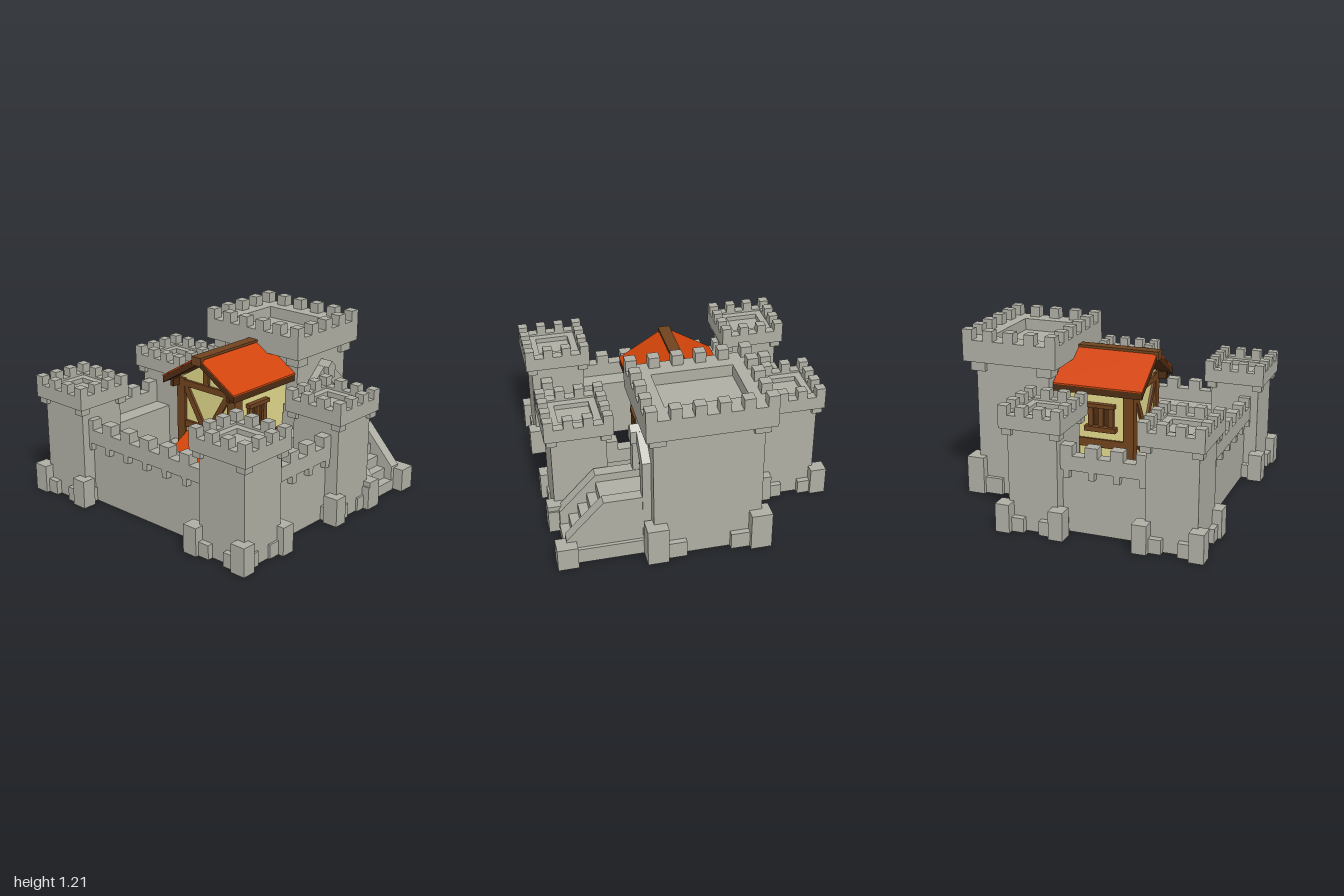
import * as THREE from 'three';

const mat = (name, color, side = THREE.FrontSide) => {
  const m = new THREE.MeshStandardMaterial({ color, side });
  m.name = name;
  return m;
};

export function createModel() {
  const stone = mat('stone grey', 0xaeaea4, THREE.DoubleSide);
  const wood = mat('timber brown', 0x70431e);
  const dark = mat('dark timber', 0x4d2c12);
  const tile = mat('roof orange', 0xd2440a);
  const plaster = mat('plaster cream', 0xe0d78a);
  const castle = new THREE.Group();
  castle.name = 'castle';

  const add = (parent, name, geo, material) => {
    const mesh = new THREE.Mesh(geo, material);
    mesh.name = name;
    parent.add(mesh);
    return mesh;
  };
  // box given by its minimum and maximum on each axis; stone on the ground is open below
  const box = (parent, name, x0, x1, y0, y1, z0, z1, m = stone) => {
    const geo = new THREE.BoxGeometry(x1 - x0, y1 - y0, z1 - z0);
    if (y0 === 0 && m === stone) {
      const index = [...geo.index.array];
      index.splice(18, 6);
      geo.setIndex(index);
      geo.clearGroups();
    }
    const mesh = add(parent, name, geo, m);
    mesh.position.set((x0 + x1) / 2, (y0 + y1) / 2, (z0 + z1) / 2);
    return mesh;
  };
  const group = (name, x = 0, z = 0, turn = 0) => {
    const g = new THREE.Group();
    g.name = name;
    g.position.set(x, 0, z);
    g.rotation.y = turn;
    castle.add(g);
    return g;
  };
  const points = pts => pts.map(p => new THREE.Vector2(...p));
  const extrude = (pts, depth, hole) => {
    const shape = new THREE.Shape(points(pts));
    if (hole) shape.holes.push(new THREE.Path(points(hole)));
    return new THREE.ExtrudeGeometry(shape, { depth, bevelEnabled: false });
  };
  // (z, y) profile swept along x; the z of the profile is kept as drawn
  const sweepX = (pts, x0, x1) =>
    extrude(pts.map(([z, y]) => [-z, y]), x1 - x0).rotateY(Math.PI / 2).translate(x0, 0, 0);
  const rect = (a, b) => [[-a, -b], [a, -b], [a, b], [-a, b]];
  // flat rectangular ring of width w between two heights
  const ring = (parent, name, a, b, w, y0, y1) =>
    add(parent, name, extrude(rect(a, b), y1 - y0, rect(a - w, b - w).reverse())
      .rotateX(-Math.PI / 2).translate(0, y0, 0), stone);

  // square tower with corner feet, corbels, hollow crown and merlons
  function tower(name, x, z, o, footShift = 0) {
    const g = group(name, x, z);
    const [bx, bz] = o.body, [cx, cz] = o.crown, [fx, fz] = o.feet;
    box(g, 'shaft', -bx, bx, 0, o.crownY, -bz, bz);
    for (const sx of [-1, 1]) for (const sz of [-1, 1]) {
      const block = (part, w, d, y0, y1, px, pz, dz = 0) => {
        const mx = sx * (px - w / 2), mz = sz * (pz - d / 2) + dz;
        box(g, part, mx - w / 2, mx + w / 2, y0, y1, mz - d / 2, mz + d / 2);
      };
      const [sw, sd] = o.foot, l = o.low;
      block('cornerFoot', sw, sd, 0, o.footTop, fx, fz, footShift);
      block('lowFoot', l, sd, 0, o.lowTop, fx - sw, bz + 0.03, footShift);
      block('lowFoot', sw, l, 0, o.lowTop, bx + 0.04, fz - sd, footShift);
      block('corbel', o.corbel, o.corbel, o.corbelY, o.crownY, bx + 0.03, bz + 0.03);
    }
    ring(g, 'crown', cx, cz, o.rim, o.crownY, o.rimY);
    if (o.ledge) ring(g, 'ledge', cx - o.rim, cz - o.rim, o.ledge, o.floor, o.rimY - 0.015);
    box(g, 'crownFloor', -cx + o.rim, cx - o.rim, o.crownY, o.floor, -cz + o.rim, cz - o.rim);
    const [nx, nz] = o.count, m = o.merlon / 2;
    for (let i = 0; i < nx; i++) for (let j = 0; j < nz; j++) {
      if (i > 0 && i < nx - 1 && j > 0 && j < nz - 1) continue;
      const px = (i / (nx - 1) * 2 - 1) * (cx - m), pz = (j / (nz - 1) * 2 - 1) * (cz - m);
      box(g, 'merlon', px - m, px + m, o.rimY, o.top, pz - m, pz + m);
    }
  }
  const small = {
    body: [0.175, 0.19], crown: [0.219, 0.234], feet: [0.24, 0.26], foot: [0.1, 0.112], low: 0.085,
    footTop: 0.2, lowTop: 0.1, corbel: 0.07, corbelY: 0.67, crownY: 0.715, rimY: 0.81,
    floor: 0.76, top: 0.873, rim: 0.066, ledge: 0.049, merlon: 0.066, count: [4, 4],
  };
  tower('frontRightTower', -0.728, 0.755, small, -0.015);
  tower('backRightTower', -0.728, -0.725, small, -0.015);
  tower('frontLeftTower', 0.213, 0.755, small, -0.015);
  tower('backLeftTower', 0.227, -0.725, small, -0.015);
  tower('keep', 0.61, -0.018, {
    body: [0.275, 0.37], crown: [0.35, 0.43], feet: [0.35, 0.428], foot: [0.128, 0.145], low: 0.13,
    footTop: 0.272, lowTop: 0.12, corbel: 0.11, corbelY: 0.91, crownY: 0.98, rimY: 1.135,
    floor: 1.05, top: 1.21, rim: 0.152, ledge: 0, merlon: 0.075, count: [5, 6],
  });

  // curtain walls; the outer face is local +z and the ends run into the towers
  function wall(name, x, z, turn, length, corbels = true) {
    const g = group(name, x, z, turn), h = length / 2, n = Math.max(1, Math.round(length / 0.18));
    const e = h + 0.06;
    box(g, 'wallBody', -e, e, 0, 0.45, -0.11, 0.06);
    box(g, 'parapet', -e, e, 0.45, 0.55, 0.02, 0.1);
    for (let i = 0; i <= n; i++) {
      const p = -h + i * length / n;
      box(g, 'merlon', p - 0.044, p + 0.044, 0.55, 0.62, 0.02, 0.1);
      if (corbels) box(g, 'corbel', p - 0.022, p + 0.022, 0.395, 0.45, 0.05, 0.1);
    }
  }
  wall('frontWall', -0.257, 0.785, 0, 0.525);
  wall('backWall', -0.25, -0.763, Math.PI, 0.525);
  wall('rightWall', -0.75, 0.015, -Math.PI / 2, 1.1);
  wall('leftFrontWall', 0.275, 0.42, Math.PI / 2, 0.22, false);
  wall('leftBackWall', 0.275, -0.4, Math.PI / 2, 0.22, false);
  box(castle, 'wallPlatform', -0.66, -0.55, 0, 0.45, -0.55, 0.05);
  // blocks in the courtyard corners
  box(castle, 'cornerBlock', -0.66, -0.46, 0, 0.2, 0.455, 0.58);
  box(castle, 'cornerBlock', -0.035, 0.18, 0, 0.2, -0.56, -0.46);

  // keep entrance
  const door = group('keepEntrance', 0.61, 0);
  const arch = [[-0.118, 0.38], [-0.118, 0.67], [-0.04, 0.75], [0, 0.775],
    [0.04, 0.75], [0.118, 0.67], [0.118, 0.38]];
  const gable = [[-0.2, 0], [0.2, 0], [0.2, 0.72], [0, 0.9], [-0.2, 0.72]];
  add(door, 'doorSurround', extrude(gable, 0.07, arch).translate(0, 0, 0.34), stone);
  box(door, 'doorLeaf', -0.12, 0.12, 0.38, 0.78, 0.35, 0.365, wood);
  add(door, 'keystone', extrude([[-0.04, 0.775], [0.04, 0.775], [0.04, 0.865], [0, 0.905], [-0.04, 0.865]], 0.1)
    .translate(0, 0, 0.35), stone);

  // entrance stairs
  box(door, 'landing', -0.13, 0.13, 0, 0.392, 0.35, 0.67);
  for (let i = 0; i < 4; i++)
    box(door, 'stairStep', -0.13, 0.13, 0, 0.078 * (4 - i), 0.66, 0.735 + i * 0.065);
  const rail = [[0.35, 0], [0.925, 0], [0.925, 0.18], [0.67, 0.45], [0.35, 0.45]];
  for (const s of [-1, 1]) {
    const a = s < 0 ? -0.195 : 0.115;
    add(door, 'balustrade', sweepX(rail, a, a + 0.08), stone);
    const b = s < 0 ? -0.22 : 0.19;
    box(door, 'plinth', b, b + 0.03, 0, 0.11, 0.35, 0.9);
    const c = s < 0 ? -0.27 : 0.145;
    box(door, 'newel', c, c + 0.125, 0, 0.165, 0.86, 1);
  }

  // half-timbered hall with a raised floor
  const hall = group('hall');
  for (const s of [-1, 1])
    box(hall, 'plasterWall', -0.22, 0.33, 0, 0.85, s * 0.25 - 0.005, s * 0.25 + 0.005, plaster);
  add(hall, 'gableWall', sweepX([[-0.255, 0], [0.255, 0], [0.255, 0.84], [0, 0.99], [-0.255, 0.84]], -0.22, -0.21), plaster);
  box(hall, 'floor', -0.21, 0.33, 0.08, 0.1, -0.245, 0.245, dark);
  const chevron = (top, thick, w) => {
    const low = top - w * 0.605;
    return [[-w, low - thick], [0, top - thick], [w, low - thick], [w, low], [0, top], [-w, low]];
  };
  add(hall, 'roofBoards', sweepX(chevron(1.053, 0.05, 0.333), -0.32, 0.33), dark);
  add(hall, 'roofTiles', sweepX(chevron(1.061, 0.009, 0.335), -0.322, 0.33), tile);
  box(hall, 'ridgeCap', -0.335, 0.33, 1.044, 1.062, -0.037, 0.045, wood);
  box(hall, 'ridgeEnd', -0.335, -0.3, 1.0, 1.045, -0.037, 0.045, wood);
  for (const s of [-1, 1]) {
    const side = (name, x0, x1, y0, y1, out, m = wood) => {
      const z = s * (0.25 + out / 2);
      box(hall, name, x0, x1, y0, y1, z - out / 2, z + out / 2, m);
    };
    side('cornerPost', -0.24, -0.165, 0, 0.84, 0.025);
    side('eaveBeam', -0.3, 0.33, 0.785, 0.84, 0.03, dark);
    side('middleBeam', -0.24, 0.33, 0.4, 0.46, 0.022);
    side('sillBeam', -0.24, 0.33, 0, 0.06, 0.022);
    // window with mullions and sill
    side('windowPane', -0.09, 0.09, 0.55, 0.7, 0.012, dark);
    for (const x of [-0.075, 0, 0.075]) side('windowMullion', x - 0.018, x + 0.018, 0.55, 0.7, 0.03);
    side('windowLintel', -0.105, 0.105, 0.695, 0.723, 0.045);
    side('windowSill', -0.115, 0.115, 0.525, 0.56, 0.055);
    // gable timbers
    box(hall, 'gablePost', -0.24, -0.2, 0, 0.84, s * 0.235 - 0.035, s * 0.235 + 0.035, wood);
    const brace = add(hall, 'gableBrace', new THREE.BoxGeometry(0.03, 0.36, 0.045), wood);
    brace.position.set(-0.222, 0.66, s * 0.12);
    brace.rotation.x = s * 0.55;
    box(hall, 'doorPost', -0.245, -0.2, 0, 0.34, s * 0.1 - 0.02, s * 0.1 + 0.02, wood);
    const strut = add(hall, 'awningStrut', new THREE.BoxGeometry(0.17, 0.03, 0.03), wood);
    strut.position.set(-0.29, 0.27, s * 0.14);
    strut.rotation.z = -0.6;
  }
  box(hall, 'gableBeam', -0.24, -0.2, 0.785, 0.83, -0.27, 0.27, wood);
  box(hall, 'gableMiddleBeam', -0.238, -0.2, 0.48, 0.53, -0.26, 0.26, wood);
  box(hall, 'kingPost', -0.237, -0.2, 0.8, 0.99, -0.025, 0.025, wood);
  box(hall, 'hallDoor', -0.228, -0.2, 0, 0.32, -0.09, 0.09, dark);

  // sloped awning over the hall door
  const awning = new THREE.Group();
  awning.name = 'awning';
  awning.position.set(-0.34, 0.37, -0.01);
  awning.rotation.z = 0.52;
  box(awning, 'awningBoards', -0.135, 0.135, -0.03, 0, -0.183, 0.183, dark);
  box(awning, 'awningTiles', -0.137, 0.137, 0, 0.009, -0.185, 0.185, tile);
  hall.add(awning);

  return castle;
}
